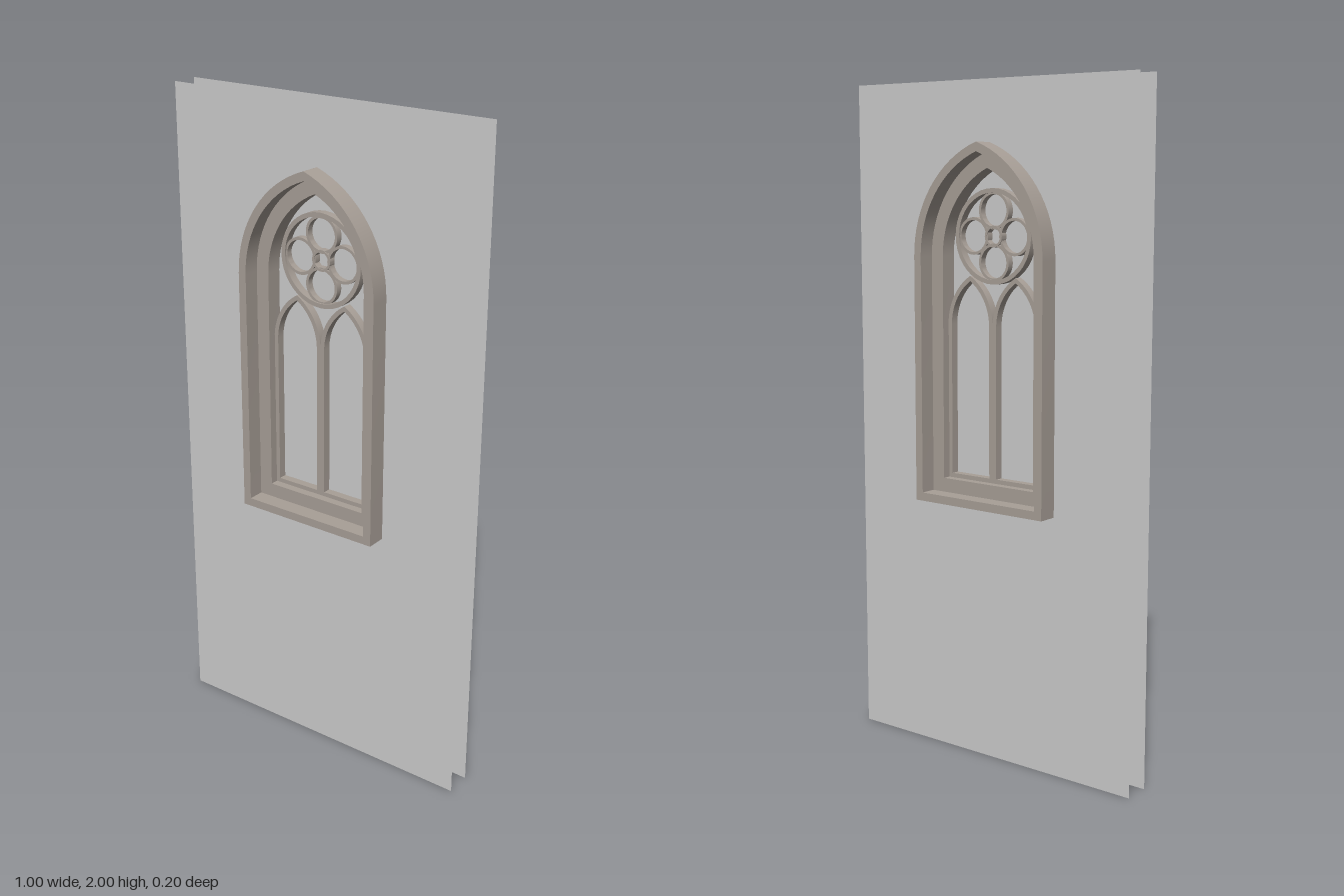
import * as THREE from 'three';
import { toCreasedNormals } from 'three/addons/utils/BufferGeometryUtils.js';

const stone = new THREE.MeshStandardMaterial({ color: 0xa89f97 });
stone.name = 'stone';
const plaster = new THREE.MeshStandardMaterial({ color: 0xcccccc, side: THREE.DoubleSide });
plaster.name = 'plaster';

// Pointed arch outline: two arcs of radius r meet above the centre line, inset by d
function archPoints({ cx, half, spring, rise, bottom }, d = 0, steps = 16) {
  const full = (half * half + rise * rise) / (2 * half);
  const off = full - half, r = full - d, end = Math.acos(off / r);
  const right = [];
  for (let i = 0; i <= steps; i++) {
    const a = (end * i) / steps;
    right.push([i === steps ? 0 : r * Math.cos(a) - off, spring + r * Math.sin(a)]);
  }
  right.unshift([half - d, bottom + d]);
  const left = right.slice(0, -1).reverse().map(([x, y]) => [-x, y]);
  return [...right, ...left].map(([x, y]) => new THREE.Vector2(cx + x, y));
}

function circlePoints(x, y, r, n = 40) {
  return Array.from({ length: n }, (_, i) => {
    const a = (i / n) * Math.PI * 2;
    return new THREE.Vector2(x + r * Math.cos(a), y + r * Math.sin(a));
  });
}

function holed(outer, inner) {
  const shape = new THREE.Shape(outer);
  if (inner) shape.holes.push(new THREE.Path(inner));
  return shape;
}

function createModel() {
  const group = new THREE.Group();
  const add = (name, geometry, material, parent = group) => {
    const mesh = new THREE.Mesh(geometry, material);
    mesh.name = name;
    parent.add(mesh);
    return mesh;
  };
  // Stone ring between two outlines, reaching the same depth to front and back
  const ring = (name, outer, inner, reach, parent) => {
    const geo = new THREE.ExtrudeGeometry(holed(outer, inner), { depth: reach * 2, bevelEnabled: false });
    geo.translate(0, 0, -reach);
    return add(name, toCreasedNormals(geo, 0.5), stone, parent);
  };

  const opening = { cx: 0, half: 0.2325, spring: 1.5, rise: 0.325, bottom: 0.773 };

  // Two thin wall sheets with the window cut out
  const wall = [[-0.5, 0], [0.5, 0], [0.5, 2], [-0.5, 2]].map(p => new THREE.Vector2(...p));
  for (const [name, z] of [['wallFront', 0.04], ['wallBack', -0.04]]) {
    add(name, new THREE.ShapeGeometry(holed(wall, archPoints(opening, 0.01))), plaster).position.z = z;
  }

  // Stepped frame and the pane in its middle
  ring('outerFrame', archPoints(opening), archPoints(opening, 0.025), 0.1);
  ring('innerFrame', archPoints(opening, 0.025), archPoints(opening, 0.067), 0.05);
  add('pane', new THREE.ShapeGeometry(holed(archPoints(opening, 0.06))), plaster);

  // Tracery: two pointed lights sharing a mullion
  const tracery = new THREE.Group();
  tracery.name = 'tracery';
  group.add(tracery);
  for (const s of [-1, 1]) {
    const light = { cx: s * 0.083, half: 0.083, spring: 1.3, rise: 0.145, bottom: 0.84 };
    ring(s > 0 ? 'leftLight' : 'rightLight', archPoints(light), archPoints(light, 0.013), 0.025, tracery);
  }

  // Rose: rim, four lobes and a centre ring
  const roseY = 1.56;
  const hoop = (name, x, y, outer, inner, reach) =>
    ring(name, circlePoints(x, y, outer), circlePoints(x, y, inner), reach, tracery);
  hoop('roseRim', 0, roseY, 0.137, 0.124, 0.025);
  for (let i = 0; i < 4; i++) {
    const a = (i * Math.PI) / 2;
    hoop('roseLobe', 0.074 * Math.cos(a), roseY + 0.074 * Math.sin(a), 0.054, 0.046, 0.02);
  }
  hoop('roseCentre', 0, roseY, 0.031, 0.024, 0.022);

  return group;
}

export { createModel };
